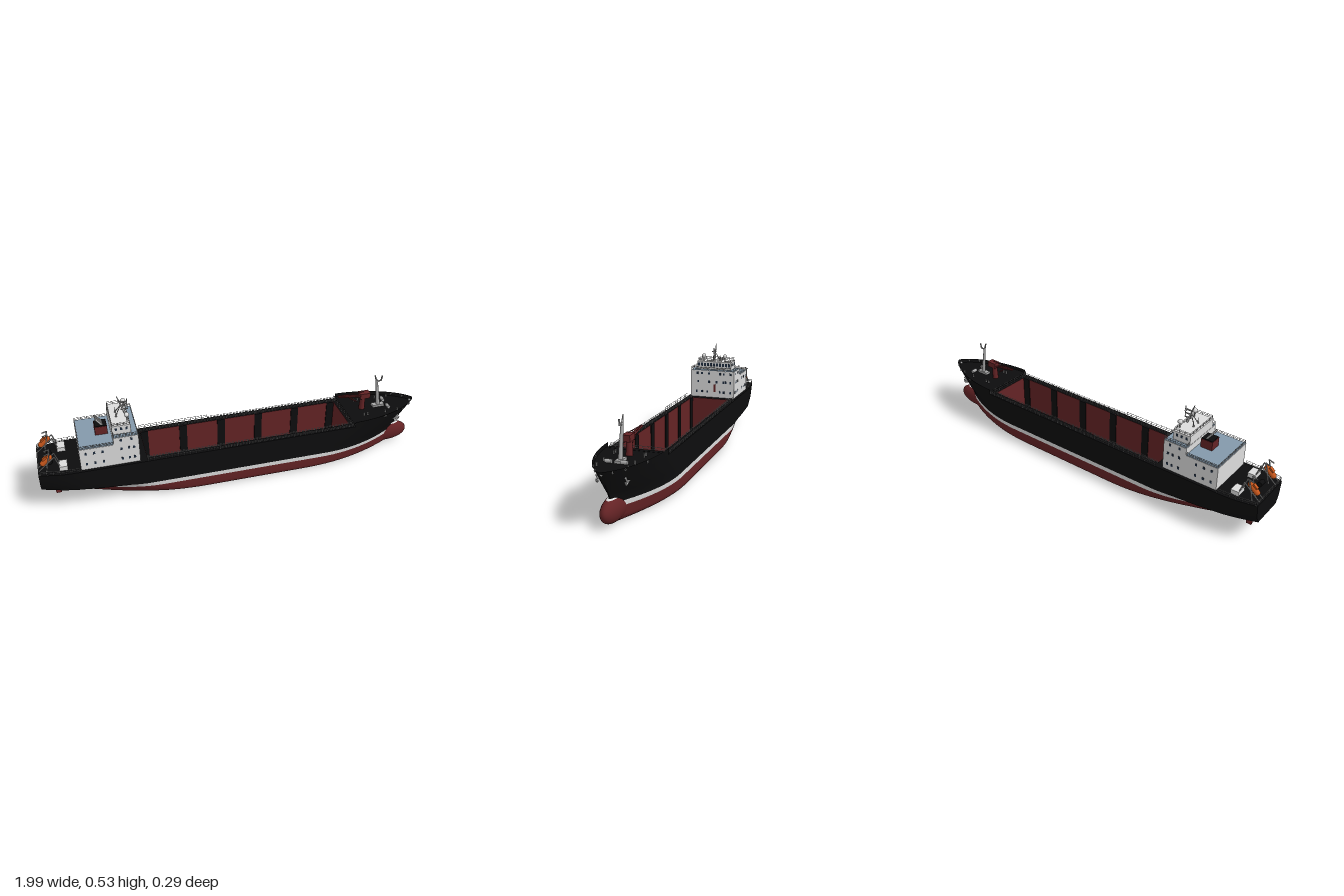
import * as THREE from 'three';
import { mergeGeometries, toCreasedNormals } from 'three/addons/utils/BufferGeometryUtils.js';

const mat = (name, color, side = THREE.FrontSide) => {
  const m = new THREE.MeshStandardMaterial({ color, side });
  m.name = name;
  return m;
};
const black = mat('hull black', 0x0d0d0e, THREE.DoubleSide), red = mat('antifouling red', 0x642325);
const white = mat('paint white', 0xdcdcdc), blue = mat('deck blue', 0x8499ab);
const glass = mat('window blue', 0x1f2d40), orange = mat('lifeboat orange', 0xc8571c);
const grey = mat('steel grey', 0xa8a8a8), brass = mat('propeller brass', 0xa87a35);

const V = (x, y, z) => new THREE.Vector3(x, y, z);
const mesh = (parent, name, geo, m) => {
  const o = new THREE.Mesh(geo, m);
  o.name = name;
  parent.add(o);
  return o;
};
// Box given by its min and max corners
const boxGeo = (x0, x1, y0, y1, z0, z1) =>
  new THREE.BoxGeometry(x1 - x0, y1 - y0, z1 - z0).translate((x0 + x1) / 2, (y0 + y1) / 2, (z0 + z1) / 2);
const box = (parent, name, m, ...c) => mesh(parent, name, boxGeo(...c), m);
// Round bar between two points
const rodGeo = (a, b, r, r2 = r, n = 6) => {
  const d = b.clone().sub(a), g = new THREE.CylinderGeometry(r2, r, d.length(), n);
  g.applyQuaternion(new THREE.Quaternion().setFromUnitVectors(V(0, 1, 0), d.normalize()));
  return g.translate(...a.clone().add(b).multiplyScalar(0.5).toArray());
};
const rods = (parent, name, m, list) => mesh(parent, name, mergeGeometries(list.map((l) => rodGeo(...l))), m);
// Railing along a floor path, with posts and two bars
const rail = (parent, name, path, h, step = 0.03) => {
  const up = (p, k) => V(p.x, p.y + h * k, p.z), list = [];
  for (let i = 0; i + 1 < path.length; i++) {
    const [a, b] = [path[i], path[i + 1]], n = Math.max(1, Math.round(a.distanceTo(b) / step));
    for (const k of [0.5, 1]) list.push([up(a, k), up(b, k), 0.0011, 0.0011, 4]);
    for (let j = 0; j <= n; j++) {
      const p = a.clone().lerp(b, j / n);
      list.push([p, up(p, 1), 0.0011, 0.0011, 4]);
    }
  }
  rods(parent, name, grey, list);
};

// Waterlines: height, stern x, bow x, transom fullness, run length, entry length, entry power
const LINES = [
  [0, -0.72, 0.86, 0.04, 0.55, 0.55, 1], [0.015, -0.79, 0.89, 0.04, 0.55, 0.52, 1],
  [0.05, -0.855, 0.9, 0.05, 0.5, 0.5, 1], [0.092, -0.865, 0.9, 0.1, 0.4, 0.45, 1],
  [0.1, -0.89, 0.9, 0.3, 0.35, 0.45, 1], [0.108, -0.95, 0.9, 0.45, 0.3, 0.45, 0.95],
  [0.12, -1, 0.9, 0.6, 0.25, 0.44, 0.9], [0.16, -1, 0.925, 0.75, 0.2, 0.42, 0.8],
  [0.256, -1, 0.99, 0.84, 0.15, 0.4, 0.7],
];
const lineAt = (y) => {
  let i = 0;
  while (i < LINES.length - 2 && y > LINES[i + 1][0]) i++;
  const a = LINES[i], b = LINES[i + 1], t = (y - a[0]) / (b[0] - a[0]);
  return a.map((v, k) => v + (b[k] - v) * t);
};
const halfWidth = (x, y) => {
  const [, xs, xe, w0, ls, lb, e] = lineAt(y), R = 0.028;
  const beam = y < R ? 0.143 - R + Math.sqrt(R * R - (R - y) ** 2) : 0.143;
  const s = Math.min(1, Math.max(0, (x - xs) / ls)), d = Math.min(1, Math.max(0, (xe - x) / lb));
  return beam * (w0 + (1 - w0) * Math.sin(s * Math.PI / 2)) * (1 - (1 - d) ** 2) ** e;
};
// Ring of points at one level, from the bow along +z, round the stern and back
const ring = (y, from = -2, N = 56) => {
  const [, xs, xe] = lineAt(y), x0 = Math.max(xs, from), half = [];
  for (let j = 0; j <= N; j++) {
    const x = xe + (x0 - xe) * (1 - Math.cos(Math.PI * j / N)) / 2;
    half.push(V(x, y, halfWidth(x, y)));
  }
  return [...half, ...half.map((p) => V(p.x, p.y, -p.z)).reverse()];
};
const loft = (rings, closed, groupAt) => {
  const n = rings[0].length, idx = [], g = new THREE.BufferGeometry(), starts = [];
  for (let i = 0; i + 1 < rings.length; i++) {
    starts.push(idx.length);
    for (let j = 0; j + 1 < n; j++) {
      if (!closed && j === n / 2 - 1) continue;
      const a = i * n + j, c = a + n;
      idx.push(a, c, a + 1, a + 1, c, c + 1);
    }
  }
  g.setAttribute('position', new THREE.Float32BufferAttribute(rings.flat().flatMap((p) => p.toArray()), 3));
  g.setIndex(idx);
  starts.forEach((s, i) => g.addGroup(s, idx.length / (rings.length - 1), groupAt ? groupAt(i) : 0));
  return toCreasedNormals(g, 0.7);
};
const deckGeo = (y, from, hole) => {
  const shape = new THREE.Shape(ring(y, from).map((p) => new THREE.Vector2(p.x, -p.z)));
  if (hole) shape.holes.push(new THREE.Path(hole.map(([x, z]) => new THREE.Vector2(x, z))));
  return new THREE.ShapeGeometry(shape).rotateX(-Math.PI / 2).translate(0, y, 0);
};

function buildHull(g) {
  const ys = [0, 0.002, 0.006, 0.012, 0.02, 0.03, 0.05, 0.07, 0.092, 0.1, 0.104, 0.108, 0.114, 0.12, 0.14, 0.16, 0.2, 0.228];
  const rings = [ring(0).map((p) => V(p.x, 0, 0)), ...ys.map((y) => ring(y))];
  mesh(g, 'hull', loft(rings, true, (i) => (ys[i] <= 0.09 ? 0 : ys[i] < 0.1 ? 1 : 2)), [red, white, black]);
  mesh(g, 'mainDeck', deckGeo(0.228, -2, [[-0.48, -0.11], [0.58, -0.11], [0.58, 0.11], [-0.48, 0.11]]), black);
  mesh(g, 'forecastleBulwark', loft([0.226, 0.24, 0.256].map((y) => ring(y, 0.6)), false), [black]);
  mesh(g, 'forecastleDeck', deckGeo(0.238, 0.62), black);
  box(g, 'forecastleBreak', black, 0.6, 0.625, 0.226, 0.239, -0.138, 0.138);
  // Bulbous bow in three colour bands
  const bulb = new THREE.Group();
  bulb.name = 'bulbousBow';
  g.add(bulb);
  [[0, 0.42, black], [0.42, 0.15, white], [0.57, Math.PI - 0.57, red]].forEach(([t0, len, m]) => {
    const s = new THREE.SphereGeometry(1, 32, 16, 0, Math.PI * 2, t0, len), p = s.attributes.position;
    for (let i = 0; i < p.count; i++) {
      const x = p.getX(i);
      p.setXYZ(i, 0.84 + 0.133 * Math.sign(x) * Math.abs(x) ** 0.8, 0.063 + 0.058 * p.getY(i), 0.04 * p.getZ(i));
    }
    s.computeVertexNormals();
    mesh(bulb, 'bulbBand', s, m);
  });
  // Open cargo hold
  box(g, 'holdFloor', red, -0.482, 0.582, 0.03, 0.035, -0.112, 0.112);
  for (const s of [-1, 1]) {
    box(g, 'holdSide', red, -0.482, 0.582, 0.033, 0.2275, s * 0.1115 - 0.0015, s * 0.1115 + 0.0015);
    for (let i = 0; i <= 5; i++) {
      const x = -0.46 + i * 0.204;
      box(g, 'holdFrame', black, x - 0.02, x + 0.02, 0.035, 0.2278, s * 0.108 - 0.002, s * 0.108 + 0.002);
    }
    box(g, 'holdEnd', red, s * 0.531 + 0.049, s * 0.531 + 0.052, 0.033, 0.2275, -0.112, 0.112);
    // Anchors and fairleads
    const z = s * (halfWidth(0.87, 0.19) + 0.003);
    rods(g, 'anchor', grey, [[V(0.885, 0.205, z), V(0.865, 0.18, z), 0.005],
      [V(0.848, 0.188, z), V(0.882, 0.175, z), 0.006], [V(0.848, 0.188, z), V(0.85, 0.2, z), 0.004],
      [V(0.882, 0.175, z), V(0.89, 0.188, z), 0.004]]);
    for (const x of [0.78, 0.9, 0.95])
      mesh(g, 'fairlead', new THREE.TorusGeometry(0.005, 0.002, 6, 12), grey)
        .position.set(x, 0.246, s * halfWidth(x, 0.246));
    rail(g, 'sideRailAft', [V(-0.48, 0.228, s * 0.138), V(-0.12, 0.228, s * 0.138)], 0.022);
    rail(g, 'sideRailForward', [V(-0.12, 0.228, s * 0.138), V(0.6, 0.228, s * 0.138)], 0.012);
    rail(g, 'holdRail', [V(-0.48, 0.228, s * 0.115), V(0.59, 0.228, s * 0.115)], 0.012, 0.05);
  }
  rail(g, 'forecastleRail', [V(0.59, 0.228, -0.135), V(0.59, 0.228, 0.135)], 0.022);
  mesh(g, 'bowFairlead', new THREE.SphereGeometry(0.007, 12, 8), grey).position.set(0.975, 0.241, 0);
  // Rudder and propeller
  const rud = new THREE.Shape([[-0.95, 0.11], [-0.935, 0.018], [-0.91, 0.018], [-0.892, 0.11]].map((p) => new THREE.Vector2(...p)));
  mesh(g, 'rudder', new THREE.ExtrudeGeometry(rud, { depth: 0.01, bevelEnabled: false }).translate(0, 0, -0.005), red);
  rods(g, 'propellerHub', brass, [[V(-0.845, 0.052, 0), V(-0.885, 0.052, 0), 0.007, 0.003, 12]]);
  for (let i = 0; i < 4; i++) {
    const blade = new THREE.SphereGeometry(1, 10, 8).scale(0.002, 0.014, 0.008).rotateY(0.6).translate(0, 0.017, 0);
    mesh(g, 'propellerBlade', blade.rotateX(i * Math.PI / 2).translate(-0.873, 0.052, 0), brass);
  }
}

function buildHouse(g) {
  box(g, 'accommodationBlock', white, -0.8, -0.515, 0.228, 0.345, -0.128, 0.128);
  box(g, 'aftHouseDeck', blue, -0.798, -0.635, 0.345, 0.348, -0.126, 0.126);
  box(g, 'bridgeTower', white, -0.635, -0.515, 0.345, 0.382, -0.128, 0.128);
  box(g, 'bridgeWingDeck', blue, -0.633, -0.517, 0.382, 0.3845, -0.126, 0.126);
  box(g, 'wheelhouse', white, -0.635, -0.545, 0.384, 0.43, -0.1, 0.1);
  // Windows on the front and sides
  const w = [];
  const front = (x, y, z, h = 0.013) => w.push(boxGeo(x - 0.001, x + 0.0015, y - h / 2, y + h / 2, z - 0.005, z + 0.005));
  const side = (x, y, s, z) => w.push(boxGeo(x - 0.005, x + 0.005, y - 0.0065, y + 0.0065, s * z - 0.0015, s * z + 0.0015));
  for (let i = 0; i < 11; i++) front(-0.545, 0.412, -0.09 + i * 0.018, 0.018);
  [0.09, 0.062, 0.02, -0.045, -0.068, -0.107].forEach((z) => front(-0.515, 0.366, z));
  [0.085, 0.02, -0.025, -0.067, -0.08, -0.107].forEach((z) => front(-0.515, 0.318, z));
  [0.093, 0.062, 0.03, -0.045, -0.067, -0.107].forEach((z) => front(-0.515, 0.26, z));
  for (const s of [-1, 1]) {
    for (const y of [0.26, 0.318]) [-0.77, -0.73, -0.69, -0.6, -0.565, -0.54].forEach((x) => side(x, y, s, 0.128));
    [-0.6, -0.55].forEach((x) => side(x, 0.366, s, 0.128));
    [-0.615, -0.59, -0.565].forEach((x) => side(x, 0.412, s, 0.1));
  }
  mesh(g, 'windows', mergeGeometries(w), glass);
  box(g, 'frontDoor', red, -0.516, -0.513, 0.26, 0.303, -0.02, -0.008);
  // Railings round each roof
  const loop = (name, x0, x1, y, z, h) => rail(g, name,
    [V(x0, y, -z), V(x1, y, -z), V(x1, y, z), V(x0, y, z), V(x0, y, -z)], h);
  loop('wingRail', -0.633, -0.517, 0.384, 0.126, 0.016);
  loop('roofRail', -0.632, -0.548, 0.43, 0.098, 0.015);
  rail(g, 'aftHouseRail', [V(-0.637, 0.347, -0.125), V(-0.797, 0.347, -0.125), V(-0.797, 0.347, 0.125), V(-0.637, 0.347, 0.125)], 0.014);
  // Funnel with exhaust pipes
  box(g, 'funnel', red, -0.71, -0.65, 0.347, 0.392, -0.03, 0.03);
  box(g, 'funnelTop', black, -0.708, -0.652, 0.392, 0.396, -0.028, 0.028);
  rods(g, 'exhausts', grey, [-0.018, -0.006, 0.006, 0.018].map((z) => [V(-0.67, 0.39, z), V(-0.7, 0.43, z), 0.005, 0.005, 10]));
  // Satellite domes
  for (const z of [-0.063, 0.063]) {
    mesh(g, 'satelliteDome', new THREE.SphereGeometry(0.012, 20, 14), white).position.set(-0.555, 0.462, z);
    rods(g, 'domePost', grey, [[V(-0.555, 0.43, z), V(-0.555, 0.452, z), 0.003]]);
  }
  // Raked radar mast
  rods(g, 'radarMast', grey, [[V(-0.555, 0.43, 0), V(-0.588, 0.528, 0), 0.006, 0.002, 8],
    [V(-0.605, 0.43, 0.02), V(-0.573, 0.48, 0), 0.002], [V(-0.605, 0.43, -0.02), V(-0.573, 0.48, 0), 0.002],
    ...[0.455, 0.475, 0.495].flatMap((y) => [[V(-0.575, y, 0), V(-0.54, y, 0), 0.004, 0.003],
      [V(-0.542, y, 0), V(-0.542, y + 0.015, 0), 0.002]])]);
  box(g, 'radarScanner', white, -0.55, -0.543, 0.488, 0.492, -0.012, 0.012);
  for (const z of [-0.02, 0.02]) rods(g, 'whipAerial', grey, [[V(-0.6, 0.43, z), V(-0.6, 0.46, z), 0.003, 0.001]]);
}

function buildForedeck(g) {
  // Deck crane with its jib stowed aft
  rods(g, 'cranePedestal', red, [[V(0.695, 0.235, 0), V(0.695, 0.31, 0), 0.016, 0.013, 16]]);
  box(g, 'craneHouse', red, 0.675, 0.73, 0.305, 0.335, -0.018, 0.018);
  rods(g, 'craneJib', red, [[V(0.69, 0.315, 0.009), V(0.555, 0.332, 0.004), 0.004], [V(0.69, 0.315, -0.009), V(0.555, 0.332, -0.004), 0.004],
    [V(0.7, 0.34, 0), V(0.555, 0.335, 0), 0.002], [V(0.66, 0.285, 0), V(0.61, 0.322, 0), 0.004]]);
  // Raked foremast with forked head
  rods(g, 'foremast', grey, [[V(0.79, 0.235, 0), V(0.765, 0.4, 0), 0.011, 0.006, 12], [V(0.765, 0.395, 0), V(0.752, 0.43, 0), 0.005, 0.003],
    [V(0.766, 0.39, 0), V(0.79, 0.395, 0), 0.004], [V(0.79, 0.392, 0), V(0.795, 0.42, 0), 0.004]]);
  box(g, 'mastBase', grey, 0.755, 0.82, 0.237, 0.25, -0.014, 0.014);
  // Winches and bollards
  for (const s of [-1, 1]) {
    rods(g, 'anchorWinch', grey, [[V(0.83, 0.25, s * 0.02), V(0.83, 0.25, s * 0.05), 0.009, 0.009, 12]]);
    rods(g, 'bollards', grey, [0.68, 0.7, 0.8, 0.87].map((x) => [V(x, 0.237, s * 0.07), V(x, 0.252, s * 0.07), 0.004, 0.004, 8]));
  }
}

function buildStern(g) {
  for (const s of [-1, 1]) {
    const z = s * 0.078;
    // Lifeboat on a sloping launch frame
    const boat = mesh(g, 'lifeboat', new THREE.CapsuleGeometry(0.014, 0.045, 6, 14).rotateZ(-Math.PI / 2), orange);
    boat.position.set(-0.955, 0.282, z);
    boat.rotation.z = 0.72;
    const cabin = box(g, 'lifeboatCabin', orange, -0.008, 0.018, 0.008, 0.019, -0.008, 0.008);
    cabin.position.add(boat.position.clone().sub(V(0, 0, 0)));
    cabin.rotation.z = 0.72;
    rods(g, 'launchFrame', grey, [-0.016, 0.016].flatMap((d) => [[V(-0.995, 0.235, z + d), V(-0.915, 0.305, z + d), 0.003],
      [V(-0.915, 0.305, z + d), V(-0.89, 0.228, z + d), 0.003], [V(-0.96, 0.228, z + d), V(-0.935, 0.33, z + d), 0.003],
      [V(-0.935, 0.33, z + d), V(-0.96, 0.322, z + d), 0.003]]));
    box(g, 'boatPlatform', white, -0.9, -0.86, 0.228, 0.25, z - 0.028, z + 0.028);
    rods(g, 'mooringWinch', black, [[V(-0.94, 0.242, s * 0.012), V(-0.94, 0.242, s * 0.045), 0.012, 0.012, 12]]);
    rail(g, 'sternSideRail', [V(-0.81, 0.228, s * 0.137), V(-0.9, 0.228, s * 0.132), V(-0.99, 0.228, s * 0.118)], 0.02);
  }
  rail(g, 'sternRail', [V(-0.995, 0.228, -0.116), V(-0.995, 0.228, 0.116)], 0.02);
}

export function createModel() {
  const ship = new THREE.Group();
  ship.name = 'cargoShip';
  for (const [name, build] of [['hullGroup', buildHull], ['deckhouse', buildHouse], ['foredeck', buildForedeck], ['sternDeck', buildStern]]) {
    const g = new THREE.Group();
    g.name = name;
    build(g);
    ship.add(g);
  }
  return ship;
}
